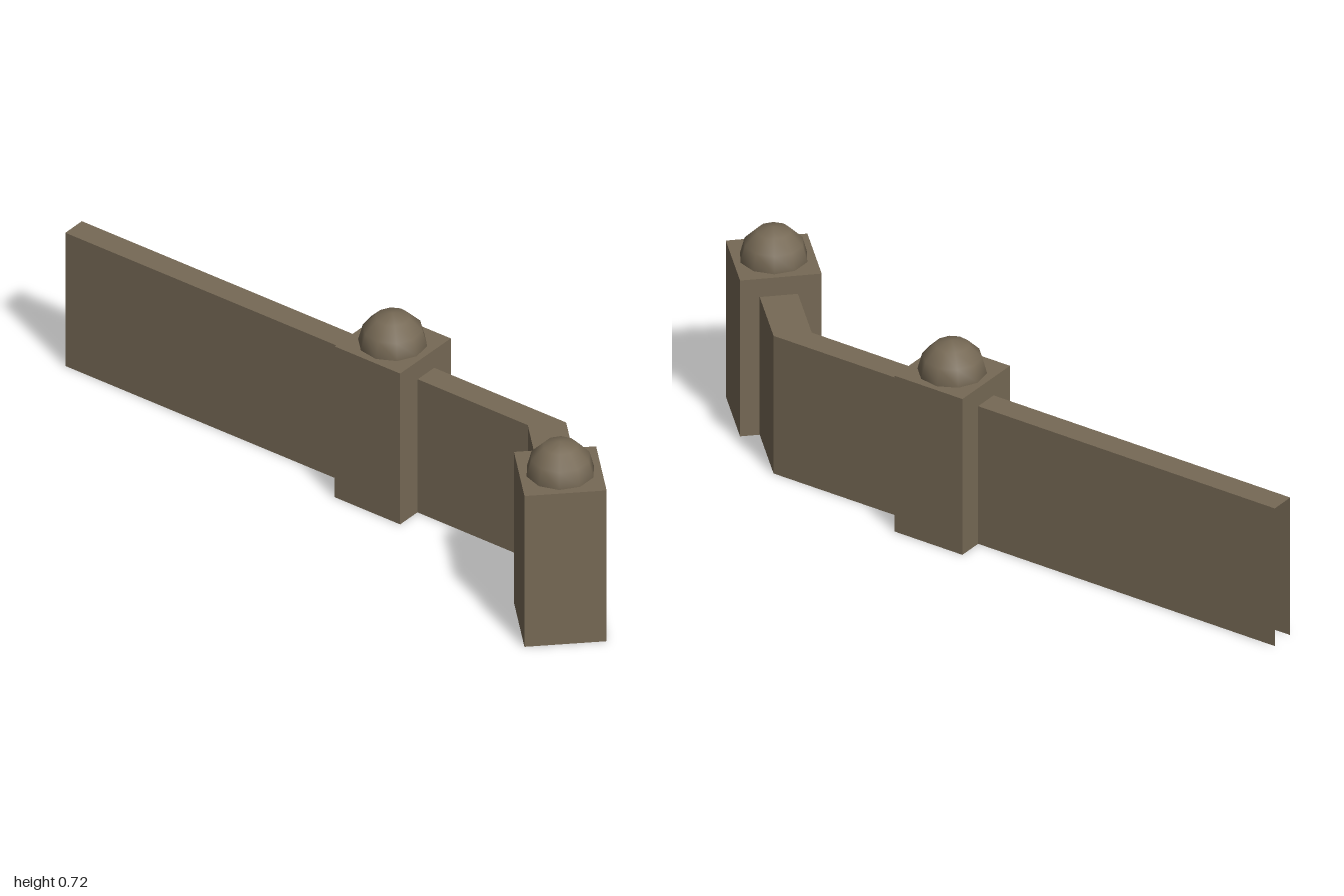
import * as THREE from 'three';

const stone = new THREE.MeshStandardMaterial({ color: 0x766955, side: THREE.DoubleSide });
stone.name = 'weathered stone';

const WALL_H = 0.53, PILLAR_H = 0.6, PILLAR_W = 0.278, DOME_R = 0.118;

// Hollow wall run (two sides and a top) through plan sections [leftX, leftZ, rightX, rightZ]
function wallRun(name, sections) {
  const pos = [];
  const quad = (a, b, c, d) => pos.push(...a, ...b, ...c, ...a, ...c, ...d);
  const left = (s, y) => [s[0], y, s[1]];
  const right = (s, y) => [s[2], y, s[3]];
  for (let i = 0; i < sections.length - 1; i++) {
    const s = sections[i], t = sections[i + 1];
    quad(left(s, 0), left(t, 0), left(t, WALL_H), left(s, WALL_H));
    quad(right(t, 0), right(s, 0), right(s, WALL_H), right(t, WALL_H));
    quad(left(s, WALL_H), left(t, WALL_H), right(t, WALL_H), right(s, WALL_H));
  }
  const g = new THREE.BufferGeometry();
  g.setAttribute('position', new THREE.Float32BufferAttribute(pos, 3));
  g.computeVertexNormals();
  const mesh = new THREE.Mesh(g, stone);
  mesh.name = name;
  return mesh;
}

// Square pillar, open underneath, with a ten-sided domed cap
function pillar(name, x, z, turn) {
  const group = new THREE.Group();
  group.name = name;
  const box = new THREE.BoxGeometry(PILLAR_W, PILLAR_H, PILLAR_W);
  const index = Array.from(box.index.array);
  index.splice(18, 6); // drop the underside
  box.setIndex(index);
  box.clearGroups();
  const shaft = new THREE.Mesh(box, stone);
  shaft.name = 'pillarShaft';
  shaft.position.y = PILLAR_H / 2;
  const dome = new THREE.Mesh(
    new THREE.SphereGeometry(DOME_R, 10, 3, 0, Math.PI * 2, 0, Math.PI / 2), stone);
  dome.name = 'pillarDome';
  dome.position.y = PILLAR_H;
  dome.rotation.y = Math.PI / 4;
  group.add(shaft, dome);
  group.position.set(x, 0, z);
  group.rotation.y = turn;
  return group;
}

export function createModel() {
  const model = new THREE.Group();
  model.name = 'wallWithPillars';
  model.add(
    wallRun('longWall', [
      [-0.792, -0.935, -0.728, -1],
      [0.068, -0.075, 0.132, -0.139],
    ]),
    wallRun('bentWall', [
      [0.265, 0.122, 0.329, 0.058],
      [0.595, 0.453, 0.725, 0.453],
      [0.595, 0.722, 0.725, 0.722],
    ]),
    pillar('middlePillar', 0.197, -0.008, Math.PI / 4),
    pillar('endPillar', 0.653, 0.861, 0),
  );
  return model;
}
